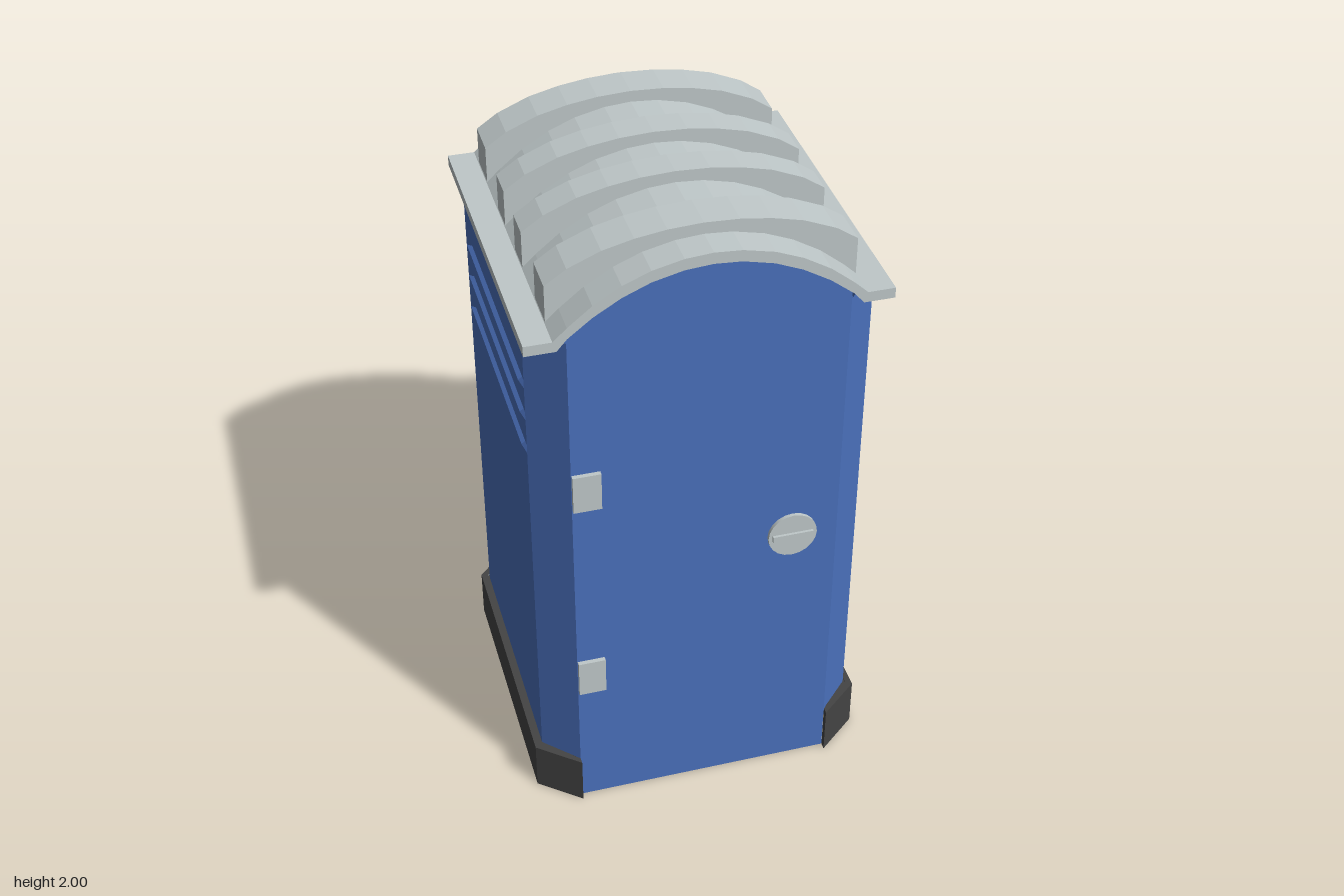
import * as THREE from 'three';

const mat = (name, color, side = THREE.FrontSide) => {
  const m = new THREE.MeshStandardMaterial({ color, side });
  m.name = name;
  return m;
};

// Full symmetric outline from its right half, listed from the edge to the centre
const mirrorArc = (half) => [...half, ...half.slice(0, -1).reverse().map(([x, y]) => [-x, y])];
const toShape = (pts) => new THREE.Shape(pts.map(([x, y]) => new THREE.Vector2(x, y)));

const INNER_ARC = mirrorArc([[0.4, 1.765], [0.33, 1.82], [0.25, 1.868], [0.17, 1.902], [0.08, 1.924], [0, 1.93]]);
const OUTER_ARC = mirrorArc([[0.44, 1.762], [0.4, 1.8], [0.33, 1.857], [0.25, 1.905], [0.17, 1.938], [0.08, 1.959], [0, 1.965]]);
const RIB_ARC = mirrorArc([[0.438, 1.762], [0.438, 1.877], [0.375, 1.92], [0.28, 1.96], [0.19, 1.982], [0.1, 1.995], [0, 2]]);

// Slab seen from the front, running from z0 to z1
function slabZ(pts, z0, z1) {
  return new THREE.ExtrudeGeometry(toShape(pts), { depth: z1 - z0, bevelEnabled: false }).translate(0, 0, z0);
}
// Slab with an [x, z] plan, running from y0 to y1
function slabY(pts, y0, y1) {
  return new THREE.ExtrudeGeometry(toShape(pts), { depth: y1 - y0, bevelEnabled: false })
    .rotateX(Math.PI / 2).translate(0, y1, 0);
}

// Side and back walls: plan sections lofted upward, pinched inward at each vent
function wallGeometry() {
  const levels = [[0.135, 0]];
  for (const y of [1.29, 1.405, 1.515]) levels.push([y, 0], [y + 0.028, 0.035], [y + 0.056, 0]);
  levels.push([1.74, 0]);
  const section = ([y, dent]) => {
    // one rear corner sits further in until it flares out at the top
    const flare = THREE.MathUtils.clamp((y - 1.433) / 0.3, 0, 1);
    const zBack = -0.455 - 0.045 * flare;
    const xIn = 0.5 - dent;
    return [
      [0.4, 0.5], [0.5, 0.4], [xIn, 0.32], [xIn, -0.32], [0.5, -0.4], [0.4, zBack],
      [-0.4, -0.5], [-0.5, -0.4], [-xIn, -0.32], [-xIn, 0.32], [-0.5, 0.4], [-0.4, 0.5],
    ].map(([x, z]) => [x, y, z]);
  };
  const rings = levels.map(section);
  const pos = [];
  for (let j = 0; j < rings.length - 1; j++) {
    for (let i = 0; i < rings[j].length - 1; i++) {
      const a = rings[j][i], b = rings[j][i + 1], c = rings[j + 1][i + 1], d = rings[j + 1][i];
      pos.push(...a, ...b, ...c, ...a, ...c, ...d);
    }
  }
  const g = new THREE.BufferGeometry();
  g.setAttribute('position', new THREE.Float32BufferAttribute(pos, 3));
  g.computeVertexNormals();
  return g;
}

export function createModel() {
  const blue = mat('blue plastic', 0x4a70bc, THREE.DoubleSide);
  const grey = mat('light grey', 0xbfc8c9);
  const dark = mat('dark base', 0x444444);

  const model = new THREE.Group();
  model.name = 'portableCabin';
  const add = (name, geometry, material, parent = model) => {
    const m = new THREE.Mesh(geometry, material);
    m.name = name;
    parent.add(m);
    return m;
  };

  // Cabin
  add('walls', wallGeometry(), blue);
  add('door', new THREE.ShapeGeometry(toShape([[-0.4, 0], [0.4, 0], ...INNER_ARC])), blue).position.z = 0.5;
  const gable = add('backGable', new THREE.ShapeGeometry(toShape([[-0.4, 1.735], [0.4, 1.735], ...INNER_ARC])), blue);
  gable.rotation.y = Math.PI;
  gable.position.z = -0.5;

  // Base skirt, open in front of the door
  const skirt = new THREE.Group();
  skirt.name = 'baseSkirt';
  model.add(skirt);
  const plan = (r, c, xf, zf) => [[xf, zf], [r, c], [r, -c], [c, -r], [-c, -r], [-r, -c], [-r, c], [-xf, zf]];
  const outer = plan(0.525, 0.42, 0.4, 0.522);
  const inner = plan(0.505, 0.41, 0.4, 0.502);
  for (let i = 0; i < 7; i++) {
    const g = slabY([outer[i], outer[i + 1], inner[i + 1], inner[i]], 0, 0.163);
    add('skirtPanel', g, i === 4 ? [dark, grey] : dark, skirt);
  }
  add('floor', slabY(plan(0.51, 0.41, 0.4, 0.498), 0.154, 0.161), dark);

  // Roof: arched shell with flat eaves, crossed by four raised ribs
  const roof = new THREE.Group();
  roof.name = 'roof';
  model.add(roof);
  const shell = [
    [0.52, 1.73], [0.52, 1.762], ...OUTER_ARC, [-0.52, 1.762], [-0.52, 1.73], [-0.43, 1.73],
    ...[...INNER_ARC].reverse(), [0.43, 1.73],
  ];
  add('roofShell', slabZ(shell, -0.515, 0.515), grey, roof);
  const ribShape = [...RIB_ARC, ...[...OUTER_ARC].reverse().map(([x, y]) => [x * 0.99, y - 0.008])];
  for (const [z0, z1] of [[-0.45, -0.33], [-0.175, -0.08], [0.05, 0.145], [0.3, 0.42]]) {
    add('roofRib', slabZ(ribShape, z0, z1), grey, roof);
  }

  // Door fittings
  for (const y of [0.513, 1.228]) {
    add('hinge', new THREE.BoxGeometry(0.083, 0.125, 0.016), grey).position.set(-0.357, y, 0.506);
  }
  const latch = new THREE.Group();
  latch.name = 'latch';
  latch.position.set(0.26, 0.932, 0.5);
  model.add(latch);
  add('latchDisc', new THREE.CylinderGeometry(0.075, 0.075, 0.012, 20).rotateX(Math.PI / 2), grey, latch).position.z = 0.005;
  add('latchBar', new THREE.BoxGeometry(0.125, 0.02, 0.012), grey, latch).position.z = 0.013;

  return model;
}
